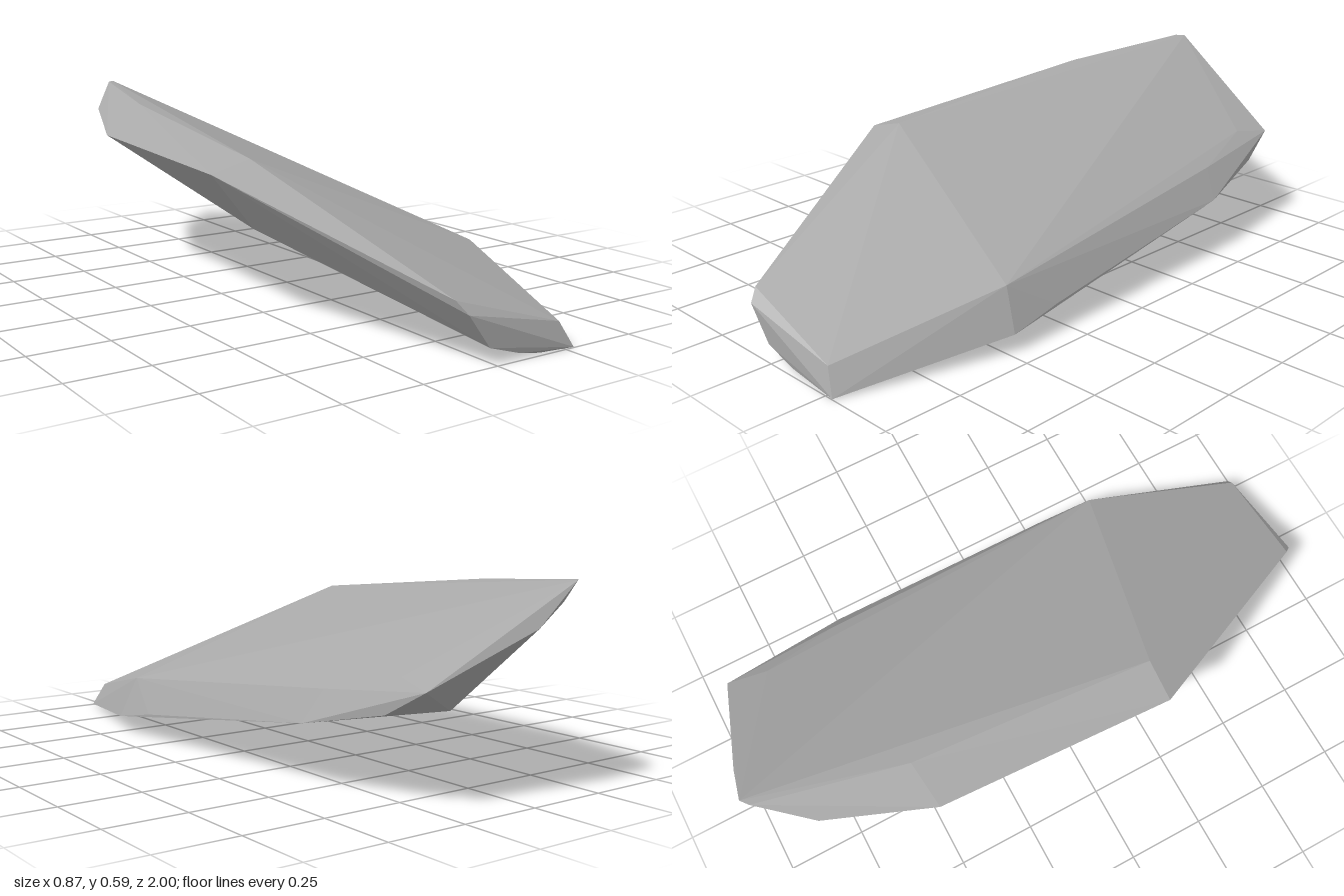
import * as THREE from 'three';
import { ConvexGeometry } from 'three/addons/geometries/ConvexGeometry.js';

// A thin, tilted stone shard: the faceted hull of a few rim corners.
export function createModel() {
  const stone = new THREE.MeshStandardMaterial({ color: 0xa8a8a8, flatShading: true });
  stone.name = 'grey stone';

  // Corners of the broad upper face
  const upper = [
    [-0.305, 0.475, 0.27], [-0.265, 0.555, -0.52], [-0.165, 0.59, -0.98], [-0.14, 0.59, -1],
    [0.275, 0.345, -0.78], [0.335, 0.285, -0.53], [0.38, 0.185, 0.46],
    [0.24, 0.077, 0.98], [-0.115, 0.185, 0.96],
  ];
  // Corners around the widest outline
  const rim = [
    [-0.435, 0.44, 0.27], [-0.4, 0.46, -0.5], [-0.28, 0.51, -0.83], [-0.01, 0.47, -0.99],
    [0.305, 0.325, -0.91], [0.39, 0.19, -0.5], [0.425, 0.09, 0.3], [0.433, 0.057, 0.48],
    [0.28, 0.002, 1], [-0.095, 0.15, 0.99],
  ];
  // Corners of the underside
  const lower = [
    [-0.3, 0.268, 0.28], [-0.02, 0.05, 0.99], [0.09, 0.016, 0.99], [0.17, 0, 0.98],
    [0.1, 0.235, -0.78], [0.33, 0.25, -0.78],
  ];

  const points = [...upper, ...rim, ...lower].map((p) => new THREE.Vector3(...p));
  const shard = new THREE.Mesh(new ConvexGeometry(points), stone);
  shard.name = 'stoneShard';

  const group = new THREE.Group();
  group.name = 'rock';
  group.add(shard);
  return group;
}
